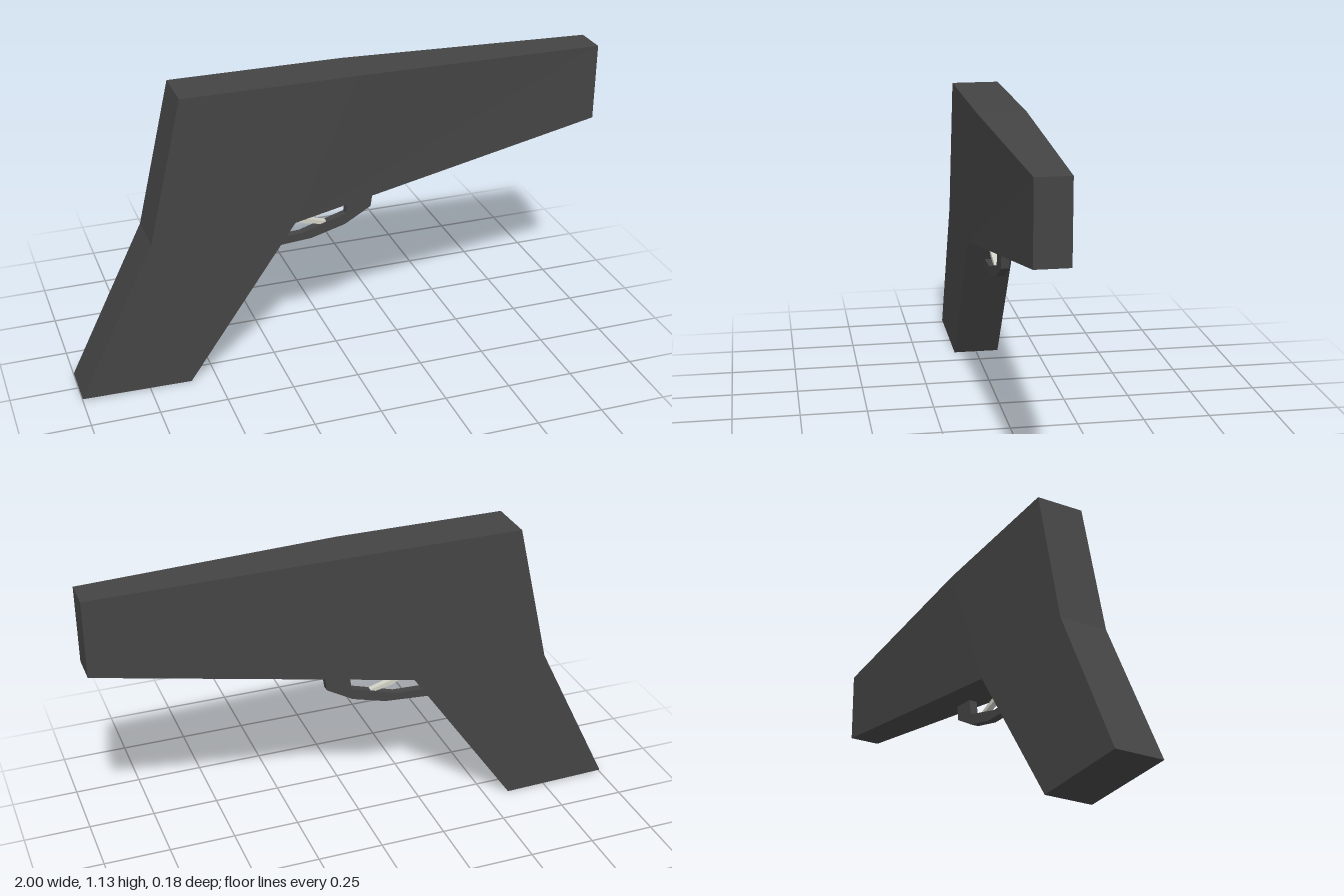
import * as THREE from 'three';

const dark = new THREE.MeshStandardMaterial({ color: 0x444444, flatShading: true });
const pale = new THREE.MeshStandardMaterial({ color: 0xd0d0c4, flatShading: true });

// Solid from a side outline of [x, y, halfWidth], counter-clockwise, with its
// two flanks split into the given quads.
function taperedSlab(outline, quads) {
  const n = outline.length;
  const positions = [1, -1].flatMap((s) => outline.flatMap(([x, y, w]) => [x, y, s * w]));
  const index = [];
  for (const [a, b, c, d] of quads) {
    index.push(a, b, c, a, c, d);
    index.push(n + a, n + c, n + b, n + a, n + d, n + c);
  }
  for (let i = 0; i < n; i++) {
    const j = (i + 1) % n;
    index.push(i, n + i, n + j, i, n + j, j);
  }
  const indexed = new THREE.BufferGeometry();
  indexed.setAttribute('position', new THREE.Float32BufferAttribute(positions, 3));
  indexed.setIndex(index);
  const geometry = indexed.toNonIndexed();
  geometry.computeVertexNormals();
  return geometry;
}

// Flat plate of constant width, centred on z = 0.
function plate(points, width) {
  const shape = new THREE.Shape(points.map(([x, y]) => new THREE.Vector2(x, y)));
  return new THREE.ExtrudeGeometry(shape, { depth: width, bevelEnabled: false })
    .translate(0, 0, -width / 2);
}

export function createModel() {
  const model = new THREE.Group();
  const add = (name, geometry, material) => {
    const mesh = new THREE.Mesh(geometry, material);
    mesh.name = name;
    model.add(mesh);
  };

  // Slanted grip and barrel housing, narrowing toward the muzzle
  const w = 0.09, tip = 0.061;
  add('body', taperedSlab([
    [-1, 0.008, w], [-0.595, 0, w], [-0.185, 0.59, w], [1, 0.823, tip],
    [1, 1.11, tip], [0.05, 1.128, w], [-0.59, 1.128, w], [-0.715, 0.59, w],
  ], [[0, 1, 2, 7], [7, 2, 5, 6], [2, 3, 4, 5]]), dark);

  // Curved guard with a raised front end
  add('triggerGuard', plate([
    [-0.275, 0.463], [-0.1, 0.476], [0.03, 0.512], [0.13, 0.57], [0.138, 0.628],
    [0.042, 0.617], [0.033, 0.555], [-0.056, 0.528], [-0.14, 0.502], [-0.25, 0.498],
  ], 0.03), dark);

  // Thin curved trigger
  add('trigger', plate([
    [-0.19, 0.572], [-0.13, 0.54], [-0.05, 0.523], [-0.042, 0.534],
    [-0.12, 0.557], [-0.17, 0.595],
  ], 0.022), pale);

  return model;
}
